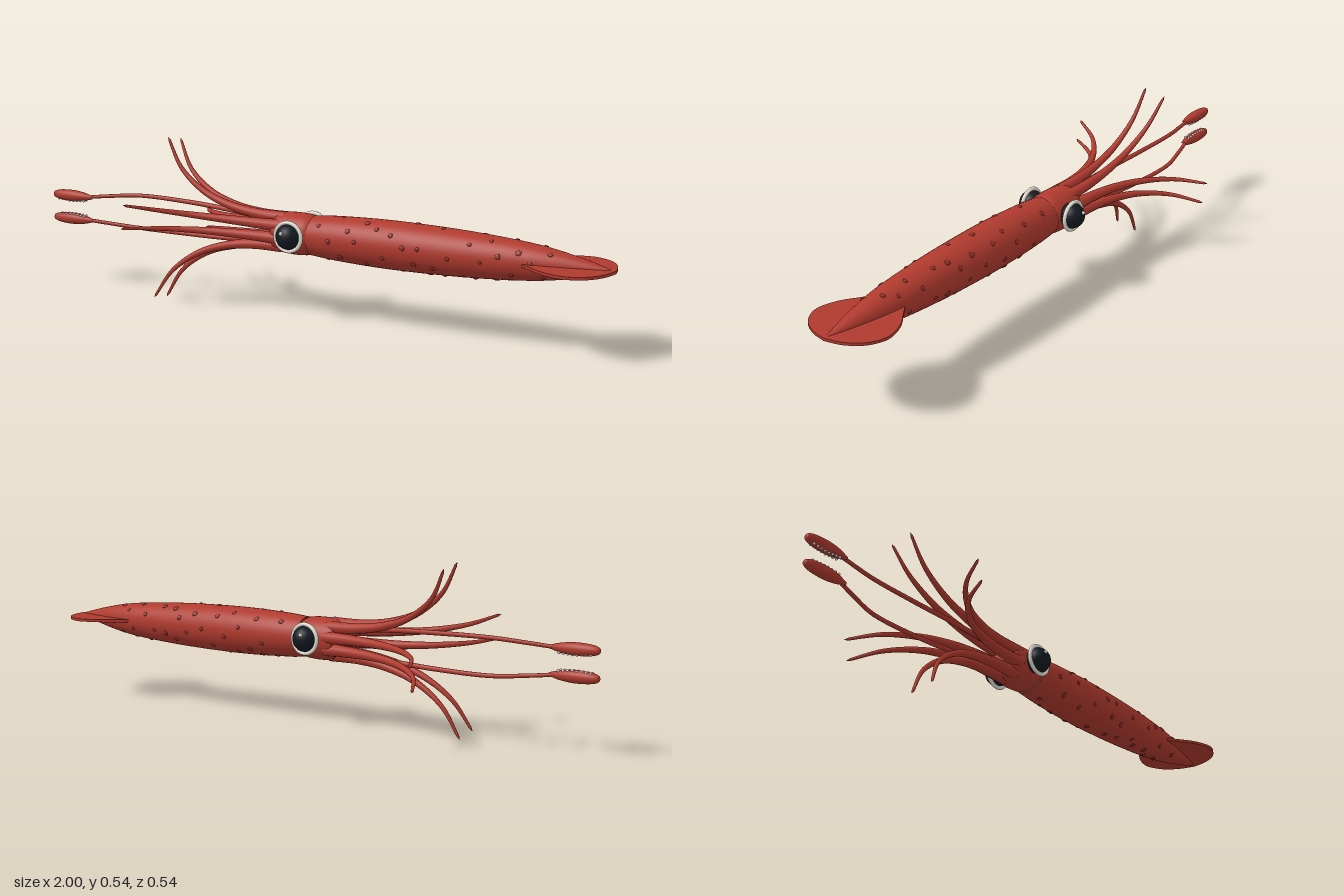
import * as THREE from 'three';

const AXIS_Y = 0.272;
const mat = (color, extra = {}) => new THREE.MeshStandardMaterial({ color, ...extra });
const skin = mat(0xb03a2e);
const spotSkin = mat(0x8c2c23);
const pale = mat(0xe6e0d6);
const dark = mat(0x141a22);

function add(parent, name, geometry, material) {
  const mesh = new THREE.Mesh(geometry, material);
  mesh.name = name;
  parent.add(mesh);
  return mesh;
}

// Tube along a smooth path whose radius follows radiusAt(t); the far end is closed
function taperedTube(points, segments, radiusAt, sides = 12) {
  const curve = new THREE.CatmullRomCurve3(points.map((p) => new THREE.Vector3(...p)));
  const geo = new THREE.TubeGeometry(curve, segments, 1, sides, false);
  const pos = geo.attributes.position;
  const v = new THREE.Vector3();
  for (let i = 0; i <= segments; i++) {
    const c = curve.getPointAt(i / segments);
    const r = i === segments ? 0.0005 : radiusAt(i / segments);
    for (let j = 0; j <= sides; j++) {
      const k = i * (sides + 1) + j;
      v.fromBufferAttribute(pos, k).sub(c).multiplyScalar(r).add(c);
      pos.setXYZ(k, v.x, v.y, v.z);
    }
  }
  return geo;
}

// Solid of revolution around the x axis from [x, radius] pairs
function latheX(profile, smooth = 50) {
  const curve = new THREE.SplineCurve(profile.map(([x, r]) => new THREE.Vector2(r, x)));
  const pts = curve.getPoints(smooth).map((p) => new THREE.Vector2(Math.max(p.x, 0), p.y));
  return new THREE.LatheGeometry(pts, 40).rotateZ(-Math.PI / 2);
}

const MANTLE = [[0.01, 0.064], [0.1, 0.071], [0.25, 0.076], [0.4, 0.075], [0.55, 0.07],
  [0.7, 0.06], [0.8, 0.048], [0.9, 0.028], [0.97, 0.01], [1, 0]];

function mantleRadius(x) {
  const i = Math.max(1, MANTLE.findIndex((p) => p[0] >= x));
  const [x0, r0] = MANTLE[i - 1];
  const [x1, r1] = MANTLE[i];
  return r0 + ((r1 - r0) * (x - x0)) / (x1 - x0);
}

function buildBody(squid) {
  add(squid, 'mantle', latheX(MANTLE), skin);
  const rim = add(squid, 'mantleOpening', new THREE.CircleGeometry(0.064, 40).rotateY(-Math.PI / 2), spotSkin);
  rim.position.x = 0.01;
  add(squid, 'head', latheX([[-0.125, 0], [-0.122, 0.045], [-0.115, 0.062], [-0.06, 0.068], [-0.01, 0.066], [0.012, 0.058]]), skin);

  // Pair of rounded tail fins cut as one thin plate
  const half = [[0.7, 0.035], [0.76, 0.078], [0.82, 0.118], [0.89, 0.135], [0.95, 0.108], [0.985, 0.058], [1, 0]];
  const shape = new THREE.Shape();
  shape.moveTo(0.7, 0);
  shape.lineTo(0.7, -0.035);
  shape.splineThru(half.slice(1).map(([x, z]) => new THREE.Vector2(x, -z)));
  shape.splineThru(half.slice(0, -1).reverse().map(([x, z]) => new THREE.Vector2(x, z)));
  const fin = new THREE.ExtrudeGeometry(shape, { depth: 0.009, bevelEnabled: false, curveSegments: 40 });
  fin.translate(0, 0, -0.0045).rotateX(Math.PI / 2);
  add(squid, 'tailFins', fin, skin);

  // Raised skin spots scattered over the mantle
  let seed = 7;
  const rnd = () => (seed = (seed * 16807) % 2147483647) / 2147483647;
  const dot = new THREE.SphereGeometry(1, 10, 8);
  for (let i = 0; i < 64; i++) {
    const x = 0.05 + 0.77 * ((i + rnd()) / 64);
    const a = i * 2.4 + rnd() * 0.9;
    const r = mantleRadius(x);
    const size = 0.006 + 0.004 * rnd();
    const spot = add(squid, 'skinSpot', dot, spotSkin);
    spot.position.set(x, r * Math.cos(a), r * Math.sin(a));
    spot.rotation.x = a;
    spot.scale.set(size, 0.004, size);
  }
}

function buildEye(squid, side) {
  const eye = new THREE.Group();
  eye.name = side > 0 ? 'frontEye' : 'backEye';
  eye.position.set(-0.04, 0.006, side * 0.08);
  add(eye, 'eyeball', new THREE.SphereGeometry(0.041, 28, 20), dark);
  const ring = add(eye, 'eyeRing', new THREE.TorusGeometry(0.046, 0.0065, 12, 40), pale);
  ring.position.z = side * 0.004;
  const glint = add(eye, 'eyeGlint', new THREE.SphereGeometry(0.006, 12, 8), pale);
  glint.position.set(-0.008, 0.016, side * 0.037);
  squid.add(eye);
}

function buildArms(squid) {
  // [x, distance from the axis] down the length of one arm
  const path = [[-0.09, 0.045], [-0.2, 0.05], [-0.3, 0.066], [-0.4, 0.102], [-0.49, 0.17], [-0.547, 0.266]];
  for (let pair = 0; pair < 4; pair++) {
    const a = (pair * 90 + 11) * Math.PI / 180;
    for (const s of [-1, 1]) {
      const points = path.map(([x, u]) => {
        const v = s * (0.02 + (u - 0.045) * 0.08);
        return [x, u * Math.cos(a) - v * Math.sin(a), -(u * Math.sin(a) + v * Math.cos(a))];
      });
      add(squid, 'arm', taperedTube(points, 48, (t) => 0.021 - 0.017 * Math.pow(t, 0.85)), skin);
    }
  }
}

function buildTentacle(squid, side) {
  const group = new THREE.Group();
  group.name = side > 0 ? 'upperTentacle' : 'lowerTentacle';
  const path = [[-0.1, 0.03, 0], [-0.3, 0.047, -0.012], [-0.5, 0.055, -0.026], [-0.68, 0.056, -0.026],
    [-0.78, 0.048, -0.006], [-0.86, 0.04, 0.014]];
  const points = path.map(([x, y, z]) => [x, side * y, z]);
  add(group, 'tentacleStalk', taperedTube(points, 60, (t) => 0.009 - 0.003 * t, 10), skin);

  // Club with two rows of suckers on its inner face
  const club = add(group, 'tentacleClub', latheX([[-0.08, 0], [-0.076, 0.01], [-0.05, 0.017], [0, 0.019], [0.045, 0.014], [0.08, 0.005]], 30), skin);
  club.position.set(-0.92, side * 0.04, 0.017);
  const sucker = new THREE.SphereGeometry(0.0045, 10, 8);
  for (let i = 0; i < 8; i++) {
    for (const row of [-1, 1]) {
      const cup = add(group, 'sucker', sucker, pale);
      const x = -0.055 + i * 0.0145;
      cup.position.set(-0.92 + x, side * (0.04 - 0.0165 + 0.09 * Math.abs(x) ** 1.1), 0.017 + row * 0.007);
    }
  }
  squid.add(group);
}

export function createModel() {
  const squid = new THREE.Group();
  squid.name = 'squid';
  const parts = new THREE.Group();
  parts.name = 'squidBody';
  parts.position.y = AXIS_Y;
  squid.add(parts);
  buildBody(parts);
  buildArms(parts);
  for (const side of [1, -1]) {
    buildEye(parts, side);
    buildTentacle(parts, side);
  }
  return squid;
}
